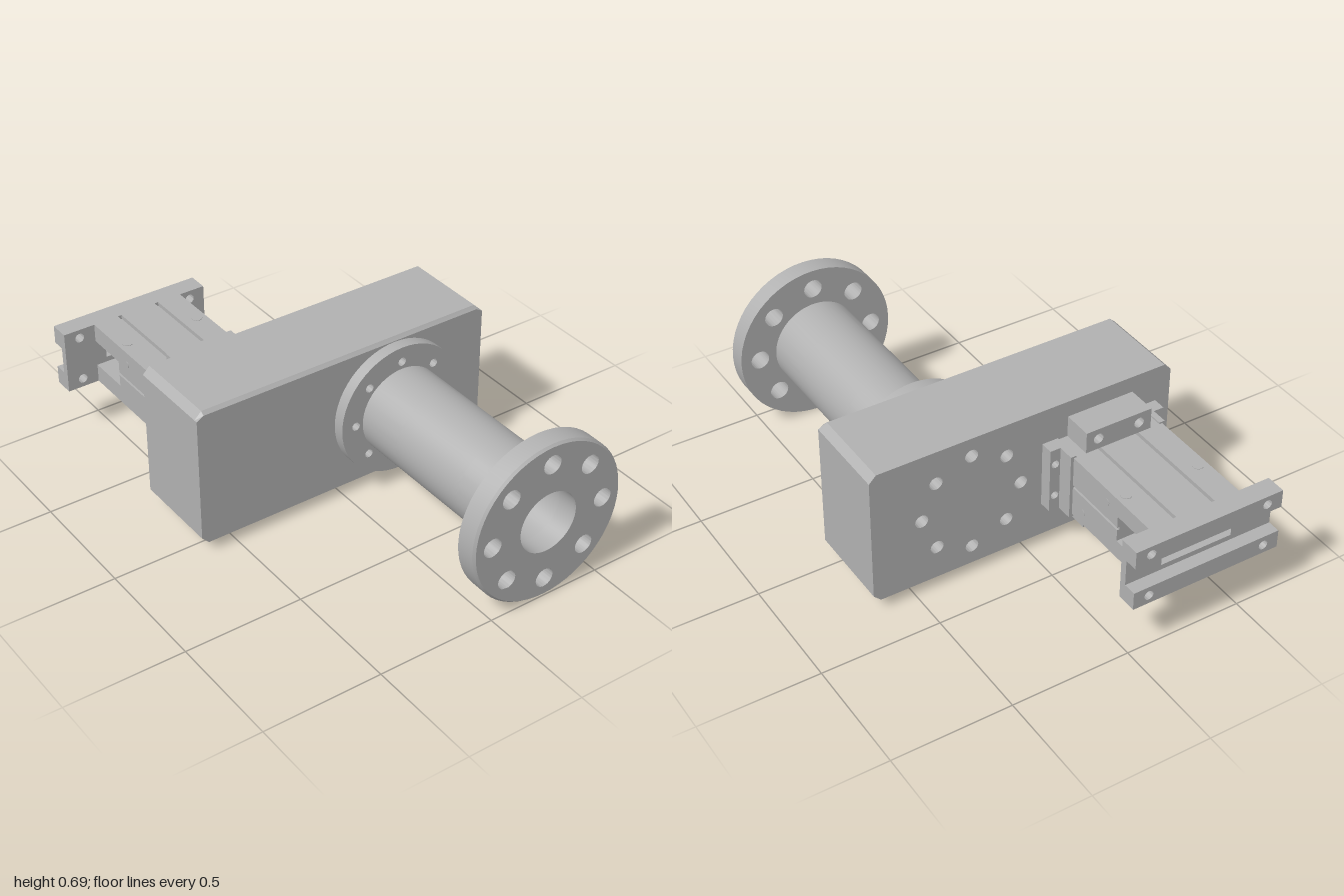
import * as THREE from 'three';
import { toCreasedNormals } from 'three/addons/utils/BufferGeometryUtils.js';

const AXIS_Y = 0.347, AXIS_Z = -0.245; // centre line of the hollow shaft

export function createModel() {
  const model = new THREE.Group();
  const steel = new THREE.MeshStandardMaterial({ color: 0xb0b0b0 });
  steel.name = 'grey steel';

  function add(name, geometry) {
    const mesh = new THREE.Mesh(toCreasedNormals(geometry, 0.5), steel);
    mesh.name = name;
    model.add(mesh);
    return mesh;
  }

  // shapes are drawn in the z-y plane and extruded along x
  const outline = (pts) => new THREE.Shape(pts.map(([z, y]) => new THREE.Vector2(-z, y)));
  const rect = (z0, z1, y0, y1) => outline([[z0, y0], [z1, y0], [z1, y1], [z0, y1]]);
  const disc = (z, y, r) => new THREE.Shape().absarc(-z, y, r, 0, Math.PI * 2, false);
  function slab(name, shape, x0, x1, rule) {
    const g = new THREE.ExtrudeGeometry(shape, { depth: x1 - x0, bevelEnabled: false, curveSegments: 28 });
    g.rotateY(Math.PI / 2).translate(x0, 0, 0);
    if (rule) {
      const p = g.attributes.position, v = new THREE.Vector3();
      for (let i = 0; i < p.count; i++) {
        rule(v.fromBufferAttribute(p, i));
        p.setXYZ(i, v.x, v.y, v.z);
      }
      g.computeVertexNormals();
    }
    return add(name, g);
  }
  function box(name, x0, x1, y0, y1, z0, z1) {
    const g = new THREE.BoxGeometry(x1 - x0, y1 - y0, z1 - z0);
    return add(name, g.translate((x0 + x1) / 2, (y0 + y1) / 2, (z0 + z1) / 2));
  }
  function boltCircle(shape, ringRadius, r) {
    for (let i = 0; i < 8; i++) {
      const a = (i * Math.PI) / 4;
      shape.holes.push(disc(AXIS_Z + ringRadius * Math.cos(a), AXIS_Y + ringRadius * Math.sin(a), r));
    }
    return shape;
  }

  // housing: chamfered block with through bolt holes and a bevelled top edge
  const c = 0.03, y0 = 0.047, y1 = 0.645, z0 = -0.675, z1 = 0.652;
  const housing = boltCircle(outline([
    [z0 + c, y0], [z1 - c, y0], [z1, y0 + c], [z1, y1 - c],
    [z1 - c, y1], [z0 + c, y1], [z0, y1 - c], [z0, y0 + c],
  ]), 0.217, 0.028);
  slab('housing', housing, -0.315, 0.05);
  slab('housingFace', housing, 0.05, 0.065, (v) => {
    if (v.x > 0.06 && v.y > 0.64) v.y = 0.632;
  });

  // mounting flange at the housing
  const mount = boltCircle(disc(AXIS_Z, AXIS_Y, 0.282), 0.217, 0.018);
  mount.holes.push(disc(AXIS_Z, AXIS_Y, 0.13));
  slab('mountingFlange', mount, 0.065, 0.115);

  // end flange with a bevelled rim
  const end = boltCircle(disc(AXIS_Z, AXIS_Y, 0.343), 0.258, 0.04);
  end.holes.push(disc(AXIS_Z, AXIS_Y, 0.13));
  slab('endFlange', end, 0.91, 0.99);
  slab('endFlangeRim', end, 0.99, 1, (v) => {
    const dy = v.y - AXIS_Y, dz = v.z - AXIS_Z;
    if (v.x > 0.995 && Math.hypot(dy, dz) > 0.33) {
      v.y = AXIS_Y + dy * 0.975;
      v.z = AXIS_Z + dz * 0.975;
    }
  });
  add('hollowShaft', slottedTube(0.115, 0.91, 0.185, 0.13, 0.33, 0.7, 0.05));

  // slide arm: grooved solid part, then two plates around an open window
  const zA = 0.125, zB = 0.53, yA = 0.212, yB = 0.483, d = 0.018;
  const grooves = [[0.23, 0.247], [0.403, 0.42]];
  const edge = (y, depth) => grooves.flatMap(([a, b]) => [[a, y], [a, y + depth], [b, y + depth], [b, y]]);
  const bottom = [[zA, yA], ...edge(yA, d), [zB, yA]];
  const top = [[zB, yB], ...edge(yB, -d).reverse(), [zA, yB]];
  slab('slideArm', outline([
    ...bottom, [zB, 0.341], [zB - 0.01, 0.341], [zB - 0.01, 0.353], [zB, 0.353],
    ...top, [zA, 0.353], [zA + 0.01, 0.353], [zA + 0.01, 0.341], [zA, 0.341],
  ]), -0.73, -0.315);
  slab('upperArmPlate', outline([...top, [zA, 0.405], [zB, 0.405]]), -0.915, -0.73);
  slab('lowerArmPlate', outline([...bottom, [zB, 0.29], [zA, 0.29]]), -0.915, -0.73);

  // pins in the window and screws on the arm
  function cylinder(name, r, h, x, y, z, alongZ) {
    const g = new THREE.CylinderGeometry(r, r, h, 24);
    if (alongZ) g.rotateX(Math.PI / 2);
    add(name, g.translate(x, y, z));
  }
  for (const z of [0.205, 0.45]) cylinder('windowPin', 0.015, 0.13, -0.835, 0.347, z);
  for (const z of [0.165, 0.49])
    for (const y of [yA, yB]) cylinder('armScrew', 0.022, 0.004, -0.72, y, z);
  for (const z of [zA, zB]) {
    cylinder('sideScrew', 0.014, 0.004, -0.66, 0.427, z, true);
    cylinder('sideScrew', 0.014, 0.004, -0.51, 0.267, z, true);
  }

  // channel-shaped end plate with a slotted web
  for (const [name, a, b, y] of [['upperJaw', 0.405, yB, 0.445], ['lowerJaw', yA, 0.29, 0.25]]) {
    const jaw = rect(0.012, 0.668, a, b);
    for (const z of [0.08, 0.6]) jaw.holes.push(disc(z, y, 0.02));
    slab(name, jaw, -1, -0.915);
  }
  const web = rect(0.012, 0.668, 0.29, 0.405);
  web.holes.push(rect(0.17, 0.485, 0.312, 0.383));
  slab('endPlateWeb', web, -0.945, -0.915);

  // clamp around the root of the arm
  const clamp = [['lowerClamp', 0.12, yA, 0.165], ['upperClamp', yB, 0.575, 0.53]];
  for (const [name, a, b, y] of clamp) {
    const block = rect(0.18, 0.475, a, b);
    for (const z of [0.235, 0.42]) block.holes.push(disc(z, y, 0.022));
    slab(name, block, -0.44, -0.315);
  }
  for (const s of [-1, 1]) {
    const mid = 0.327, at = (k) => mid + s * k;
    const lug = rect(at(0.19), at(0.26), 0.2, 0.49);
    for (const y of [0.27, 0.42]) lug.holes.push(disc(at(0.236), y, 0.017));
    slab('sideLug', lug, -0.37, -0.315);
    const zs = [at(0.19), at(0.215)].sort((a, b) => a - b);
    box('sideClamp', -0.44, -0.37, 0.2, 0.49, zs[0], zs[1]);
  }
  return model;
}

// tube along x, lofted from C-shaped sections; the gap opens into a round-ended slot underneath
function slottedTube(x0, x1, rOut, rIn, s0, s1, w) {
  const stations = [x0];
  const n = 10, seg = 72;
  for (let i = 0; i <= n; i++) stations.push(s0 + w * (1 - Math.cos((i / n) * Math.PI / 2)));
  for (let i = n; i >= 0; i--) stations.push(s1 - w * (1 - Math.cos((i / n) * Math.PI / 2)));
  stations.push(x1);
  const pos = [], index = [], ring = 2 * (seg + 1);
  stations.forEach((x, k) => {
    const away = Math.max(s0 + w - x, x - (s1 - w), 0);
    const half = Math.sqrt(Math.max(w * w - away * away, 0));
    for (let j = 0; j < ring; j++) {
      const outer = j <= seg;
      const t = outer ? j / seg : (ring - 1 - j) / seg;
      const r = outer ? rOut : rIn;
      const gap = Math.asin(half / r);
      const a = gap + t * (2 * Math.PI - 2 * gap);
      pos.push(x, AXIS_Y - r * Math.cos(a), AXIS_Z - r * Math.sin(a));
      if (k > 0) {
        const b = k * ring + j, c = k * ring + ((j + 1) % ring);
        index.push(b - ring, c - ring, b, c - ring, c, b);
      }
    }
  });
  const g = new THREE.BufferGeometry();
  g.setAttribute('position', new THREE.Float32BufferAttribute(pos, 3));
  g.setIndex(index);
  g.computeVertexNormals();
  return g;
}
